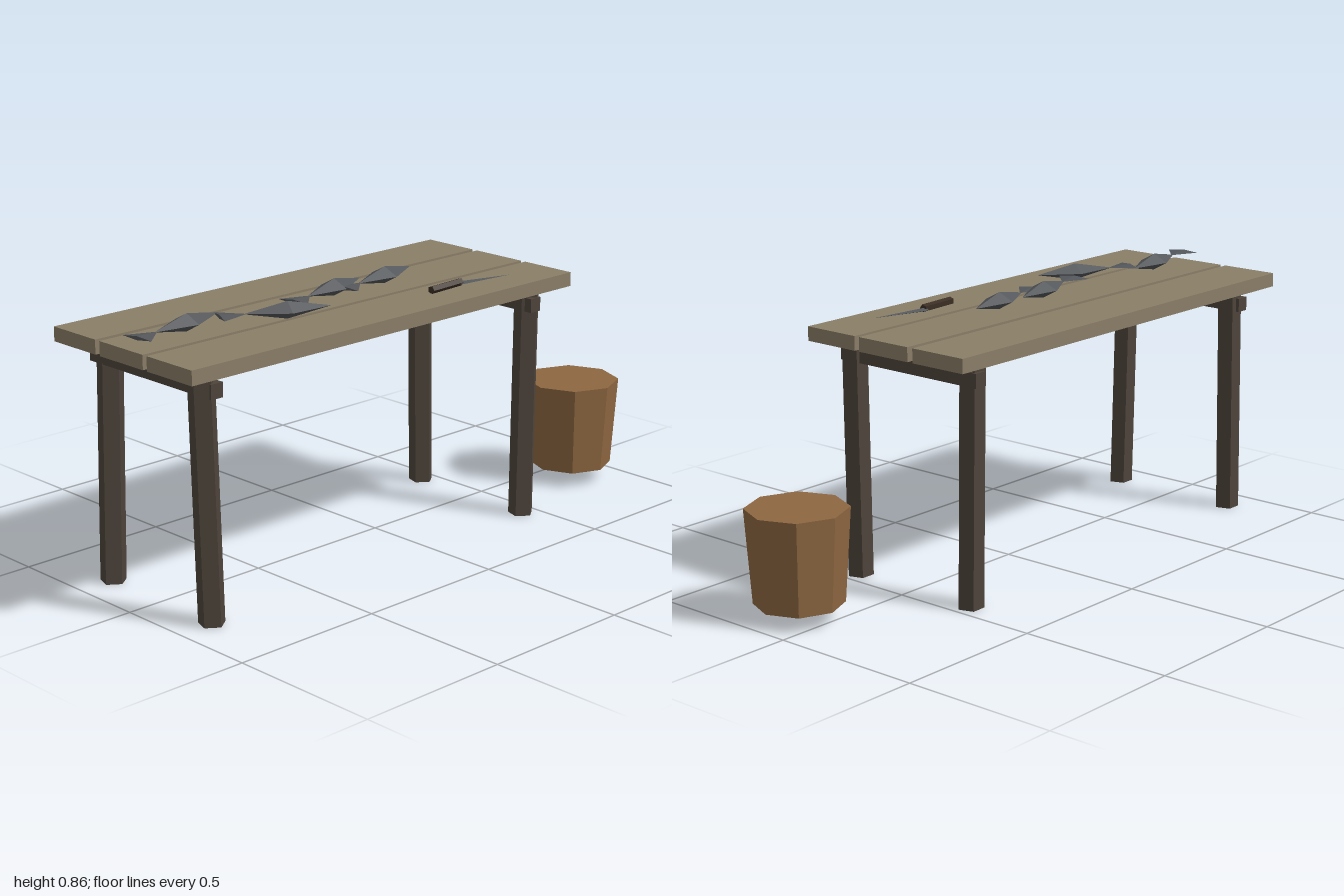
import * as THREE from 'three';

const mat = (name, color) => {
  const m = new THREE.MeshStandardMaterial({ color, flatShading: true });
  m.name = name;
  return m;
};

export function createModel() {
  const plankWood = mat('weathered plank', 0x8a7e67);
  const legWood = mat('dark timber', 0x4e443b);
  const bucketWood = mat('bucket wood', 0x8d6740);
  const fishGrey = mat('fish grey', 0x54575b);
  const handleWood = mat('handle wood', 0x3b2e24);

  const model = new THREE.Group();
  model.name = 'fishTable';
  const add = (name, geometry, material, x, y, z, parent = model) => {
    const mesh = new THREE.Mesh(geometry, material);
    mesh.name = name;
    mesh.position.set(x, y, z);
    parent.add(mesh);
    return mesh;
  };

  // Table top of three planks
  for (const z of [-0.215, 0.001, 0.215]) {
    add('plank', new THREE.BoxGeometry(1.565, 0.045, 0.196), plankWood, -0.2175, 0.7825, z);
  }

  // Five-sided legs: tops lean sideways, feet stay in line
  const height = 0.76;
  for (const [x, z, lean] of [[-0.88, 0.23, -0.019], [-0.88, -0.23, 0.019], [0.443, 0.23, 0.01], [0.443, -0.23, -0.01]]) {
    const leg = new THREE.CylinderGeometry(0.0415, 0.0415, height, 5);
    leg.translate(0, height / 2, 0);
    const p = leg.attributes.position;
    for (let i = 0; i < p.count; i++) p.setX(i, p.getX(i) + lean * p.getY(i) / height);
    leg.computeVertexNormals();
    add('leg', leg, legWood, x, 0, z);
  }

  // Cross beams joining each pair of legs
  for (const x of [-0.88, 0.443]) {
    add('crossBeam', new THREE.BoxGeometry(0.044, 0.045, 0.55), legWood, x, 0.7125, 0);
  }

  // Eight-sided bucket
  add('bucket', new THREE.CylinderGeometry(0.1575, 0.1375, 0.295, 8), bucketWood, 0.8425, 0.1975, 0.092);

  // Fish: a stretched octahedron with a flat tail fin
  const body = new THREE.OctahedronGeometry(1).scale(0.138, 0.027, 0.048);
  const tail = new THREE.ConeGeometry(1, 1, 4).rotateZ(-Math.PI / 2).scale(0.085, 0.006, 0.055);
  for (const [x, z, yaw] of [[-0.768, 0.013, 0.155], [-0.468, 0.113, -0.39], [-0.188, 0.014, 0.2], [0.028, 0.013, 0.17]]) {
    const fish = new THREE.Group();
    fish.name = 'fish';
    fish.position.set(x, 0.8375, z);
    fish.rotation.y = yaw;
    add('fishBody', body, fishGrey, 0, 0, 0, fish);
    add('fishTail', tail, fishGrey, -0.168, 0, 0, fish);
    model.add(fish);
  }

  // Knife: round handle and a flat tapering blade
  const handle = new THREE.CylinderGeometry(0.013, 0.013, 0.14, 5).rotateZ(Math.PI / 2);
  add('knifeHandle', handle, handleWood, 0.125, 0.816, 0.186).rotation.y = 0.07;
  const blade = new THREE.ConeGeometry(1, 1, 4).rotateZ(-Math.PI / 2).scale(0.2, 0.006, 0.019);
  add('knifeBlade', blade, fishGrey, 0.284, 0.812, 0.198).rotation.y = -0.19;

  return model;
}
